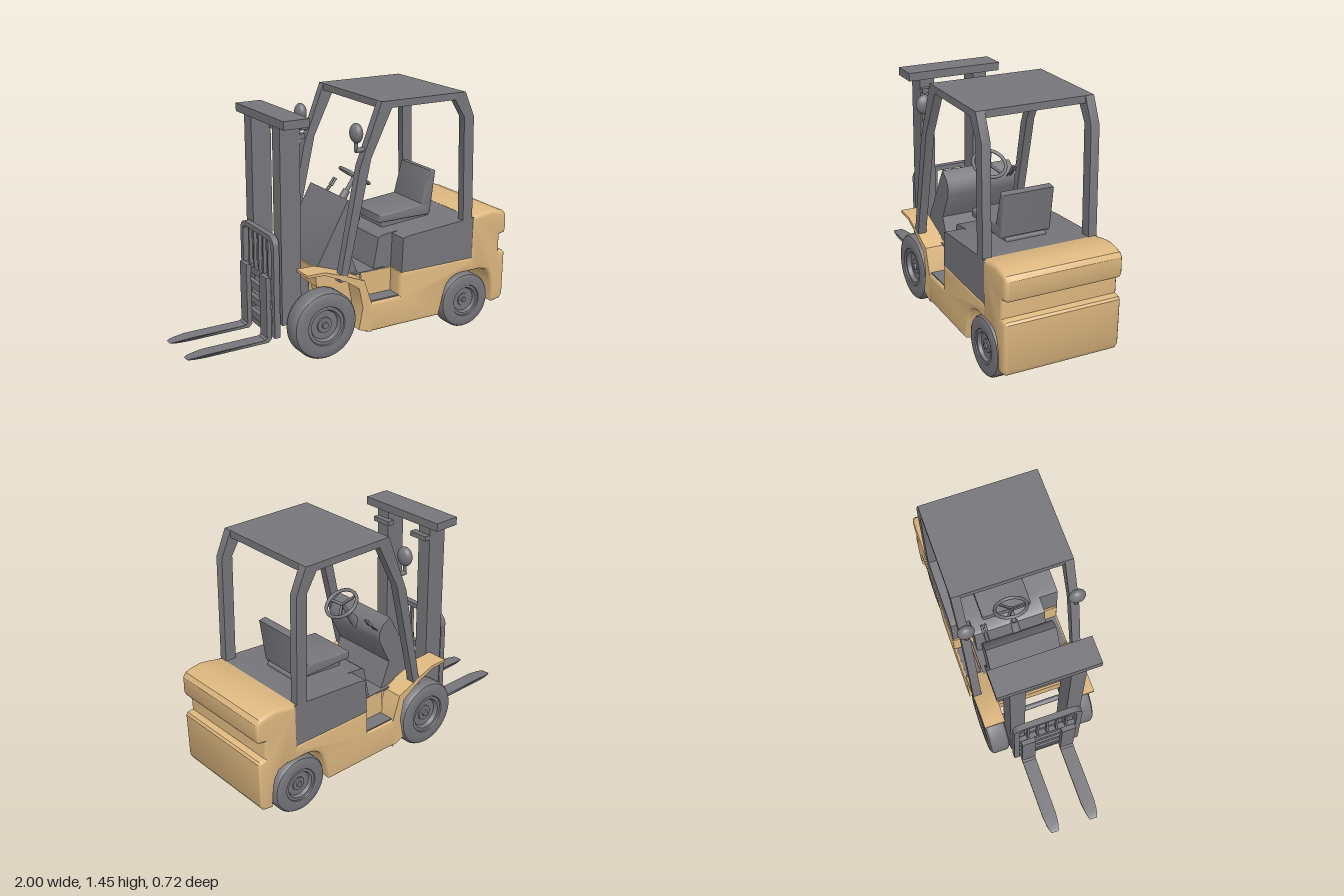
import * as THREE from 'three';
import { toCreasedNormals } from 'three/addons/utils/BufferGeometryUtils.js';
import { RoundedBoxGeometry } from 'three/addons/geometries/RoundedBoxGeometry.js';

const grey = new THREE.MeshStandardMaterial({ color: 0x77767b });
const tan = new THREE.MeshStandardMaterial({ color: 0xdeb880 });

export function createModel() {
  const root = new THREE.Group();

  const add = (name, geo, mat = grey) => {
    const mesh = new THREE.Mesh(geo, mat);
    mesh.name = name;
    root.add(mesh);
    return mesh;
  };
  const shapeOf = pts => new THREE.Shape(pts.map(p => new THREE.Vector2(...p)));
  // side profile (x, y) extruded from z0 to z1, optional bevelled edges
  const slab = (pts, z0, z1, b = 0) => {
    const g = new THREE.ExtrudeGeometry(shapeOf(pts), {
      depth: z1 - z0 - 2 * b, bevelEnabled: b > 0, bevelSize: b,
      bevelThickness: b, bevelOffset: -b, bevelSegments: 3,
    });
    g.translate(0, 0, z0 + b);
    return toCreasedNormals(g, 0.6);
  };
  // slab on both sides of the machine
  const pair = (name, pts, z0, z1, mat, b = 0) => {
    add(name + 'Left', slab(pts, z0, z1, b), mat);
    add(name + 'Right', slab(pts, -z1, -z0, b), mat);
  };
  // box given by its min and max corners
  const box = (name, [x0, y0, z0], [x1, y1, z1], mat = grey) =>
    add(name, new THREE.BoxGeometry(x1 - x0, y1 - y0, z1 - z0), mat)
      .position.set((x0 + x1) / 2, (y0 + y1) / 2, (z0 + z1) / 2);
  // straight rod between two points
  const rod = (name, a, b, r, r2 = r) => {
    const p = new THREE.Vector3(...a), q = new THREE.Vector3(...b), d = q.clone().sub(p);
    const m = add(name, new THREE.CylinderGeometry(r2, r, d.length(), 16));
    m.position.copy(p).add(q).multiplyScalar(0.5);
    m.quaternion.setFromUnitVectors(new THREE.Vector3(0, 1, 0), d.normalize());
    return m;
  };

  // hull: narrow core plus side slabs cut out for the steps
  const arch = [[0.8, 0.355], [0.68, 0.355], [0.635, 0.348], [0.6, 0.33], [0.575, 0.3], [0.557, 0.25], [0.525, 0.12]];
  add('hullCore', slab([[0.04, 0.12], [0.04, 0.445], [0.8, 0.445], ...arch], -0.235, 0.235), tan);
  pair('hullSide', [[0.02, 0.12], [0.02, 0.3], [0.24, 0.3], [0.24, 0.445], [0.8, 0.445], ...arch], 0.2, 0.338, tan, 0.02);
  add('frontBody', slab([[0.06, 0.12], [-0.02, 0.14], [-0.04, 0.3], [-0.24, 0.41], [-0.25, 0.52],
    [-0.12, 0.49], [0, 0.445], [0.06, 0.445]], -0.216, 0.216), tan);
  pair('fender', [[-0.365, 0.54], [-0.255, 0.538], [-0.13, 0.495], [0, 0.44], [0.047, 0.3], [0.05, 0.12],
    [-0.035, 0.15], [-0.01, 0.28], [-0.035, 0.4], [-0.14, 0.47], [-0.26, 0.522], [-0.365, 0.525]], 0.214, 0.338, tan);
  for (const s of [-1, 1]) box('stepPlate', [0.05, 0.298, s * 0.28 - 0.045], [0.238, 0.305, s * 0.28 + 0.045]);
  box('floor', [-0.02, 0.44, -0.234], [0.2, 0.45, 0.234]);

  // counterweight with its rear groove and wheel arch
  add('counterweight', slab([[0.742, 0.355], [0.742, 0.69], [0.81, 0.706], [0.88, 0.716], [0.94, 0.708], [0.98, 0.695],
    [0.998, 0.67], [1, 0.575], [0.99, 0.557], [0.955, 0.55], [0.955, 0.45], [0.99, 0.443], [1, 0.43],
    [0.998, 0.165], [0.98, 0.135], [0.918, 0.125], [0.905, 0.25], [0.89, 0.305], [0.865, 0.34], [0.82, 0.355]],
    -0.34, 0.34, 0.022), tan);

  // engine cover: wide rear part and narrower seat base
  add('engineCover', slab([[0.25, 0.44], [0.258, 0.645], [0.3, 0.655], [0.755, 0.69], [0.755, 0.44]], -0.335, 0.335));
  add('seatBase', slab([[0.13, 0.44], [0.165, 0.63], [0.185, 0.643], [0.3, 0.655], [0.3, 0.44]], -0.22, 0.22));

  // seat
  add('seatPlinth', new RoundedBoxGeometry(0.33, 0.06, 0.24, 2, 0.01)).position.set(0.42, 0.665, 0);
  add('seatCushion', slab([[0.215, 0.69], [0.215, 0.735], [0.51, 0.762], [0.57, 0.762], [0.565, 0.69]], -0.15, 0.15, 0.01));
  add('seatBack', slab([[0.505, 0.745], [0.562, 0.958], [0.605, 0.952], [0.572, 0.7], [0.51, 0.7]], -0.15, 0.15, 0.01));

  // dashboard cowl
  add('cowl', slab([[-0.24, 0.44], [-0.235, 0.52], [-0.035, 0.885], [0.02, 0.85], [0.045, 0.8], [0.043, 0.76],
    [-0.035, 0.6], [0.03, 0.445]], -0.212, 0.212));

  // steering wheel: ring, spokes and column
  const axis = new THREE.Vector3(0.56, 0.83, 0).normalize();
  const steering = new THREE.Group();
  steering.name = 'steeringWheel';
  steering.add(new THREE.Mesh(new THREE.TorusGeometry(0.094, 0.01, 10, 40), grey));
  for (let i = 0; i < 3; i++) {
    const spoke = new THREE.Mesh(new THREE.BoxGeometry(0.09, 0.016, 0.008), grey);
    const a = i * Math.PI * 2 / 3;
    spoke.position.set(Math.cos(a) * 0.047, Math.sin(a) * 0.047, -0.008);
    spoke.rotation.z = a;
    steering.add(spoke);
  }
  steering.position.set(0.138, 0.95, 0);
  steering.quaternion.setFromUnitVectors(new THREE.Vector3(0, 0, 1), axis);
  root.add(steering);
  rod('steeringColumn', [0, 0.745, 0], [0.138, 0.95, 0], 0.012);
  rod('columnSleeve', [0.015, 0.768, 0], [0.085, 0.872, 0], 0.027, 0.022);
  for (const z of [-0.165, -0.185]) {
    rod('lever', [0.01, 0.79, z], [0.09, 0.87, z], 0.004);
    rod('leverGrip', [0.08, 0.86, z], [0.11, 0.9, z], 0.008);
  }

  // overhead guard
  pair('guardFrame', [[-0.16, 0.46], [-0.035, 1.1], [0.098, 1.445], [0.657, 1.445], [0.722, 1.3], [0.74, 0.68],
    [0.675, 0.67], [0.655, 1.3], [0.59, 1.405], [0.165, 1.405], [0.035, 1.14], [-0.115, 0.46]], 0.287, 0.337, grey);
  box('roof', [0.098, 1.405, -0.335], [0.657, 1.445, 0.335]);

  // work lamps
  for (const s of [-1, 1]) {
    const z = s * 0.31;
    const lamp = add('lamp', new THREE.SphereGeometry(1, 24, 16));
    lamp.scale.set(0.033, 0.055, 0.048);
    lamp.position.set(-0.045, 1.285, z);
    rod('lampStalk', [-0.047, 1.185, z], [-0.045, 1.25, z], 0.01);
    rod('lampBracket', [-0.05, 1.19, z], [0.03, 1.19, z], 0.014);
  }

  // mast
  for (const s of [-1, 1]) {
    const rail = s * 0.168;
    box('mastRail', [-0.455, 0.22, rail - 0.043], [-0.335, 1.345, rail + 0.043]);
    box('mastTab', [-0.345, 1.265, s * 0.15 - 0.06], [-0.302, 1.293, s * 0.15 + 0.06]);
  }
  box('mastHead', [-0.47, 1.343, -0.285], [-0.315, 1.39, 0.285]);
  box('mastLowerTie', [-0.42, 0.25, -0.14], [-0.36, 0.33, 0.14]);

  // load backrest: rounded frame, upper bars and lower rungs
  const frame = (w, y0, y1, r) => {
    const s = new THREE.Path();
    s.moveTo(-w, y0).lineTo(w, y0).lineTo(w, y1 - r);
    s.absarc(w - r, y1 - r, r, 0, Math.PI / 2).absarc(-w + r, y1 - r, r, Math.PI / 2, Math.PI);
    return s.lineTo(-w, y0);
  };
  const outer = new THREE.Shape(frame(0.205, 0.15, 0.74, 0.06).getPoints(8));
  outer.holes.push(frame(0.173, 0.18, 0.712, 0.035));
  const rest = new THREE.ExtrudeGeometry(outer, { depth: 0.035, bevelEnabled: false });
  rest.rotateY(Math.PI / 2);
  add('backrestFrame', toCreasedNormals(rest, 0.6)).position.x = -0.5;
  for (let i = -2; i <= 2; i++) box('backrestBar', [-0.492, 0.48, i * 0.058 - 0.007], [-0.473, 0.72, i * 0.058 + 0.007]);
  for (const y of [0.2, 0.29, 0.38, 0.47]) box('carriageRung', [-0.497, y - 0.02, -0.18], [-0.467, y + 0.02, 0.18]);
  for (const s of [-1, 1]) box('carriageSlide', [-0.47, 0.22, s * 0.15 - 0.02], [-0.44, 0.5, s * 0.15 + 0.02]);

  // forks, narrowed towards the tips
  for (const s of [-1, 1]) {
    const g = slab([[-1, 0.117], [-0.985, 0.123], [-0.95, 0.126], [-0.89, 0.132], [-0.54, 0.133], [-0.528, 0.145], [-0.528, 0.5],
      [-0.5, 0.5], [-0.5, 0.135], [-0.52, 0.116], [-0.89, 0.115], [-0.95, 0.115], [-0.985, 0.115]], -0.042, 0.042);
    const p = g.attributes.position;
    for (let i = 0; i < p.count; i++) {
      const t = Math.max(0, (-0.89 - p.getX(i)) / 0.11);
      p.setZ(i, p.getZ(i) * (1 - 0.45 * t * t));
    }
    add('fork', toCreasedNormals(g, 0.6)).position.z = s * 0.123;
  }

  // wheels: lathed tyre, rim and hub
  const half = [[0, 0.78], [0.09, 0.78], [0.1, 0.6], [0.22, 0.6], [0.23, 0.48], [0.42, 0.48], [0.47, 0.85], [0.56, 0.85],
    [0.58, 0.97], [0.72, 1], [0.86, 0.97], [0.95, 0.85], [1, 0.6]];
  const profile = [...half.map(([r, h]) => [r, -h]), ...[...half].reverse()];
  const wheels = (name, x, R, z0, z1) => {
    const h = (z1 - z0) / 2;
    const g = new THREE.LatheGeometry(profile.map(([r, a]) => new THREE.Vector2(r * R, a * h)), 48);
    g.rotateX(Math.PI / 2);
    const smooth = toCreasedNormals(g, 0.6);
    for (const s of [-1, 1]) add(name + 'Wheel', smooth).position.set(x, name === 'front' ? R + 0.014 : R, s * (z0 + z1) / 2);
    const y = name === 'front' ? R + 0.014 : R;
    rod(name + 'Axle', [x, y, -z0 - 0.03], [x, y, z0 + 0.03], 0.016);
  };
  wheels('front', -0.24, 0.2, 0.205, 0.333);
  wheels('rear', 0.722, 0.169, 0.225, 0.328);

  return root;
}
